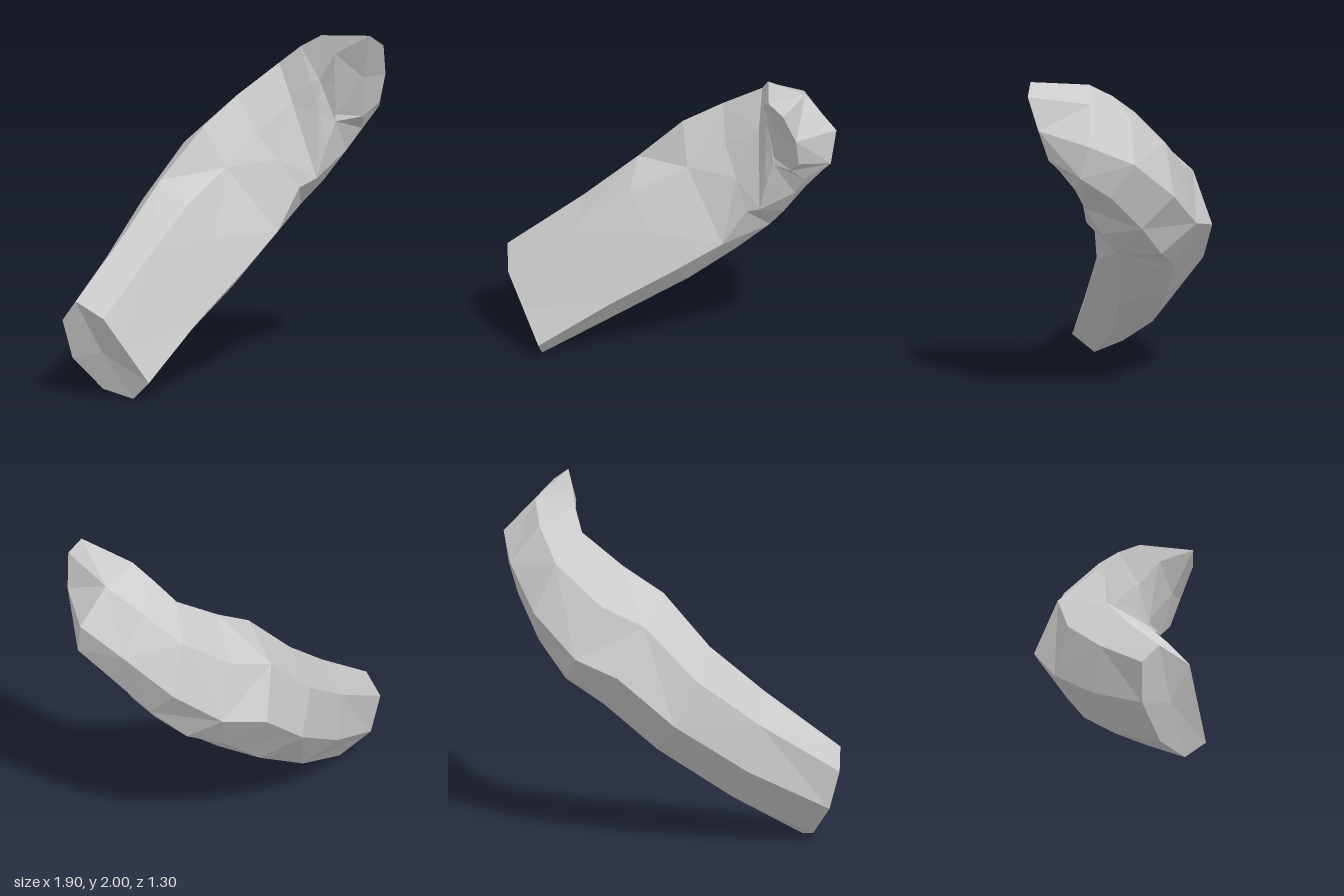
import * as THREE from 'three';

// Cross-sections along the bent sleeve: [top, upper front edge, lower front edge, bottom, back]
const sections = [
  [[-0.89, 0.57, 0.51], [-0.74, 0.49, 0.64], [-0.48, 0.11, 0.64], [-0.56, 0.0, 0.54], [-0.9, 0.22, 0.41]],
  [[-0.58, 0.9, 0.2], [-0.46, 0.8, 0.39], [-0.18, 0.4, 0.36], [-0.26, 0.26, 0.2], [-0.64, 0.46, 0.01]],
  [[-0.36, 1.16, -0.02], [-0.22, 1.05, 0.17], [0.1, 0.64, 0.13], [0.06, 0.53, -0.04], [-0.38, 0.74, -0.33]],
  [[-0.1, 1.45, -0.13], [0.02, 1.22, -0.06], [0.32, 0.84, -0.06], [0.29, 0.76, -0.2], [-0.14, 1.02, -0.55]],
  [[0.1, 1.6, -0.26], [0.2, 1.4, -0.19], [0.45, 1.08, -0.13], [0.47, 0.95, -0.29], [0.13, 1.1, -0.62]],
  [[0.35, 1.77, -0.34], [0.42, 1.55, -0.25], [0.55, 1.13, -0.14], [0.6, 1.09, -0.28], [0.42, 1.33, -0.66]],
  [[0.47, 1.88, -0.27], [0.52, 1.68, -0.2], [0.61, 1.33, -0.14], [0.73, 1.27, -0.25], [0.7, 1.57, -0.57]],
  [[0.58, 1.96, -0.18], [0.57, 1.7, -0.18], [0.66, 1.46, -0.15], [0.82, 1.4, -0.24], [0.92, 1.7, -0.4]],
  [[0.84, 2.0, 0.05], [0.65, 1.87, -0.08], [0.65, 1.5, -0.16], [0.82, 1.49, -0.14], [0.94, 1.75, -0.07]],
];

// Closed ring: flat front between its two edges, rounded back
function makeRing(rim) {
  const [top, upper, lower, bottom, back] = rim.map((p) => new THREE.Vector3(...p));
  const front = upper.clone().lerp(lower, 0.5);
  const centre = top.clone().add(front).add(bottom).add(back).multiplyScalar(0.25);
  const round = (a, b) => a.clone().add(b).addScaledVector(centre, -2)
    .multiplyScalar(Math.SQRT1_2).add(centre);
  return {
    centre,
    points: [top, upper, front, lower, bottom, round(bottom, back), back, round(back, top)],
  };
}

function geometryFrom(triangles) {
  const geometry = new THREE.BufferGeometry().setFromPoints(triangles);
  geometry.computeVertexNormals();
  return geometry;
}

export function createModel() {
  const cloth = new THREE.MeshStandardMaterial({ color: 0xcccccc, flatShading: true });
  cloth.name = 'grey cloth';
  const rings = sections.map(makeRing);
  const sides = rings[0].points.length;
  const group = new THREE.Group();
  group.name = 'bentSleeve';

  const add = (name, triangles) => {
    const mesh = new THREE.Mesh(geometryFrom(triangles), cloth);
    mesh.name = name;
    group.add(mesh);
  };

  // Faceted skin between neighbouring rings
  const skin = [];
  for (let i = 0; i < rings.length - 1; i++) {
    for (let j = 0; j < sides; j++) {
      const k = (j + 1) % sides;
      const a = rings[i].points[j], b = rings[i].points[k];
      const c = rings[i + 1].points[j], d = rings[i + 1].points[k];
      if ((i + j) % 2) skin.push(a, b, c, b, d, c);
      else skin.push(a, b, d, a, d, c);
    }
  }
  add('sleeve', skin);

  // Flat ends at the cuff and the shoulder
  const cuff = [], shoulder = [];
  const first = rings[0], last = rings[rings.length - 1];
  for (let j = 0; j < sides; j++) {
    const k = (j + 1) % sides;
    cuff.push(first.centre, first.points[k], first.points[j]);
    shoulder.push(last.centre, last.points[j], last.points[k]);
  }
  add('cuffEnd', cuff);
  add('shoulderEnd', shoulder);
  return group;
}
